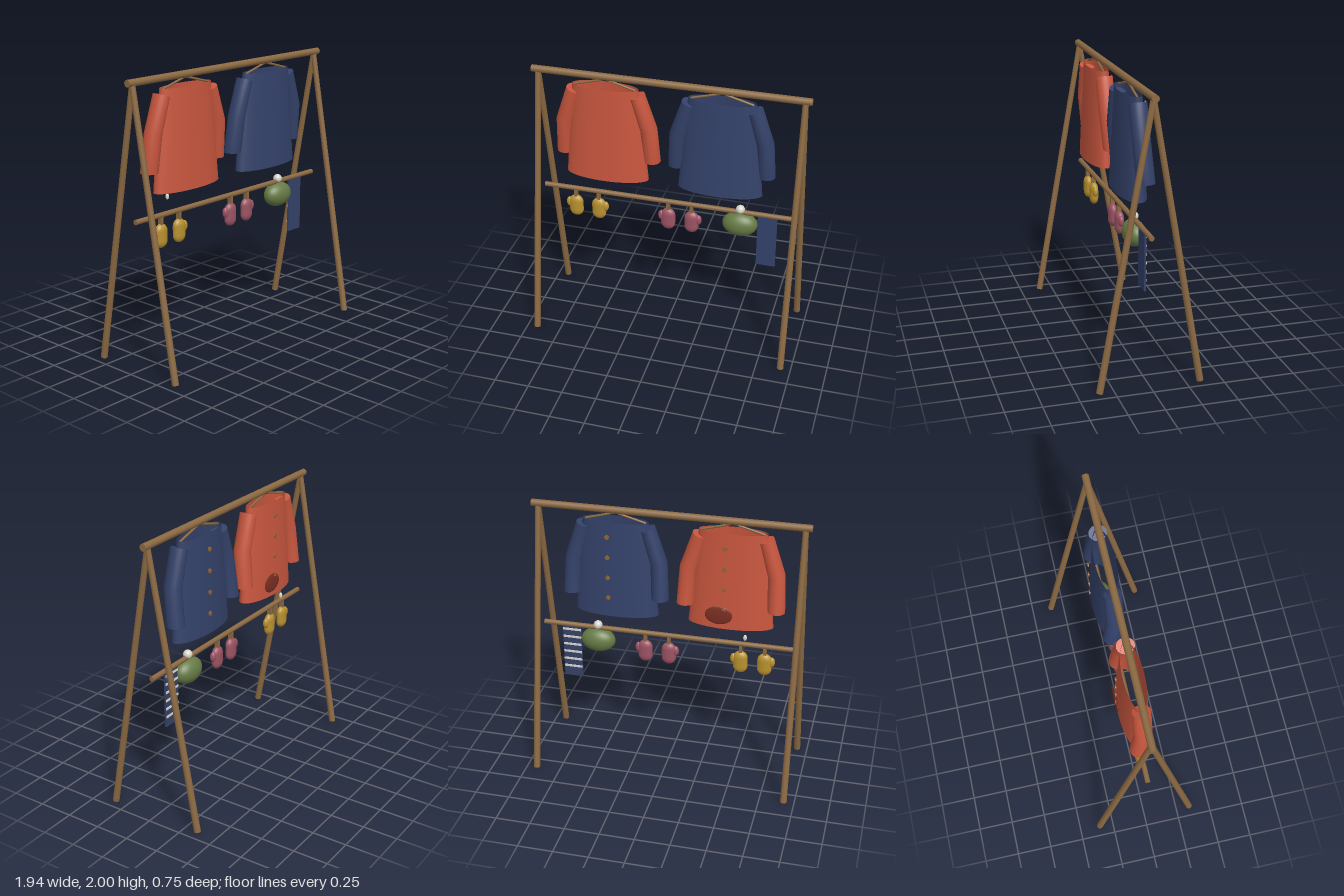
import * as THREE from 'three';

const mat = (name, color, side = THREE.FrontSide) => {
  const m = new THREE.MeshStandardMaterial({ color, side });
  m.name = name;
  return m;
};

export function createModel() {
  const wood = mat('wood', 0x8b6942);
  const rust = mat('rust cloth', 0xc8563e, THREE.DoubleSide);
  const navy = mat('navy cloth', 0x34426a, THREE.DoubleSide);
  const mustard = mat('mustard wool', 0xb8912f);
  const rose = mat('rose wool', 0x9c5363);
  const green = mat('green wool', 0x667a45);
  const cream = mat('cream', 0xd8d5cc);
  const maroon = mat('maroon', 0x7a2e22);
  const brass = mat('button brown', 0x94652f);

  const model = new THREE.Group();
  model.name = 'clothesRack';

  const add = (parent, name, geo, material, x = 0, y = 0, z = 0) => {
    const m = new THREE.Mesh(geo, material);
    m.name = name;
    m.position.set(x, y, z);
    parent.add(m);
    return m;
  };
  const group = (name, x = 0) => {
    const g = new THREE.Group();
    g.name = name;
    g.position.x = x;
    model.add(g);
    return g;
  };
  // Round pole from a to b
  const pole = (parent, name, a, b, ra, rb, sides = 16) => {
    const A = new THREE.Vector3(...a), B = new THREE.Vector3(...b);
    const d = B.clone().sub(A);
    const m = add(parent, name, new THREE.CylinderGeometry(rb, ra, d.length(), sides), wood);
    m.position.copy(A).add(B).multiplyScalar(0.5);
    m.quaternion.setFromUnitVectors(new THREE.Vector3(0, 1, 0), d.normalize());
  };
  const ellipsoid = (rx, ry, rz) => new THREE.SphereGeometry(1, 28, 20).scale(rx, ry, rz);

  // Frame: two rails and four splayed legs
  const frame = group('frame');
  pole(frame, 'topRail', [-0.97, 1.975, 0], [0.97, 1.975, 0], 0.025, 0.025);
  pole(frame, 'lowRail', [-0.925, 1.053, 0], [0.925, 1.053, 0], 0.018, 0.018);
  for (const x of [-0.925, 0.925])
    for (const s of [-1, 1])
      pole(frame, 'leg', [x, 0.005, s * 0.35], [x, 1.965, 0], 0.024, 0.02);

  // Bent sleeve: three elliptical rings at shoulder, elbow and cuff
  const rings = [
    { x: 0.225, y: 1.862, z: 0, r: 0.054, tilt: 0.35 },
    { x: 0.304, y: 1.613, z: -0.003, r: 0.06, tilt: 0.17 },
    { x: 0.318, y: 1.352, z: -0.03, r: 0.061, tilt: 0 },
  ];
  const sleeve = (s) => {
    const geo = new THREE.CylinderGeometry(1, 1, 2, 24, 2);
    const p = geo.attributes.position;
    for (let i = 0; i < p.count; i++) {
      const k = rings[Math.round(1 - p.getY(i))];
      const u = p.getX(i) * k.r, w = p.getZ(i) * 0.062;
      p.setXYZ(i, s * k.x + u * Math.cos(k.tilt), k.y + s * u * Math.sin(k.tilt), k.z + w);
    }
    geo.computeVertexNormals();
    return geo;
  };

  // Coat: open oval body, sleeves, hanger and a row of buttons on the -z side
  const coat = (name, x, cloth) => {
    const g = group(name, x);
    const geo = new THREE.CylinderGeometry(1, 1, 0.695, 48, 1, true);
    const p = geo.attributes.position;
    for (let i = 0; i < p.count; i++) {
      const top = p.getY(i) > 0;
      p.setX(i, p.getX(i) * (top ? 0.235 : 0.3));
      p.setZ(i, p.getZ(i) * (top ? 0.07 : 0.101));
    }
    geo.computeVertexNormals();
    add(g, 'coatBody', geo, cloth, 0, 1.558, 0);
    for (const s of [-1, 1]) {
      add(g, 'sleeve', sleeve(s), cloth);
      pole(g, 'hangerArm', [0, 1.957, 0], [s * 0.215, 1.898, 0], 0.008, 0.008, 10);
    }
    for (let i = 0; i < 4; i++) {
      const button = new THREE.CylinderGeometry(0.016, 0.016, 0.008, 16).rotateX(Math.PI / 2);
      add(g, 'button', button, brass, 0.035, 1.815 - i * 0.152, -0.108);
    }
    return g;
  };
  const rustCoat = coat('rustCoat', -0.444, rust);
  add(rustCoat, 'pocketPatch', ellipsoid(0.095, 0.068, 0.01), maroon, 0.068, 1.315, -0.105);
  add(rustCoat, 'hangingBead', ellipsoid(0.013, 0.023, 0.012), cream, -0.116, 1.143, -0.07);
  coat('navyCoat', 0.372, navy);

  // Mittens pegged in pairs, thumbs outward
  const mitten = (name, x, s, wool) => {
    const g = group(name, x);
    const palm = new THREE.CapsuleGeometry(0.052, 0.066, 8, 24).scale(1, 1, 0.62);
    add(g, 'palm', palm, wool, 0, 0.91, 0);
    add(g, 'thumb', ellipsoid(0.023, 0.038, 0.021), wool, s * 0.051, 0.933, 0);
    add(g, 'peg', new THREE.BoxGeometry(0.022, 0.075, 0.03), wood, 0, 1.025, 0);
  };
  for (const [name, x, wool] of [['mustardMitten', -0.607, mustard], ['roseMitten', 0.085, rose]])
    for (const s of [-1, 1]) mitten(name, x + s * 0.086, s, wool);

  // Knitted hat with pompom
  const hat = group('hat', 0.522);
  add(hat, 'hatBody', ellipsoid(0.126, 0.091, 0.078), green, 0, 0.956, 0);
  add(hat, 'pompom', ellipsoid(0.032, 0.032, 0.032), cream, 0, 1.074, 0);

  // Scarf with thin stripes on its -z side
  const scarf = group('scarf', 0.718);
  add(scarf, 'scarfCloth', new THREE.BoxGeometry(0.138, 0.415, 0.012), navy, 0, 0.842, 0);
  for (let i = 0; i < 6; i++)
    add(scarf, 'stripe', new THREE.BoxGeometry(0.134, 0.016, 0.006), cream, 0, 1.015 - i * 0.061, -0.008);

  return model;
}
